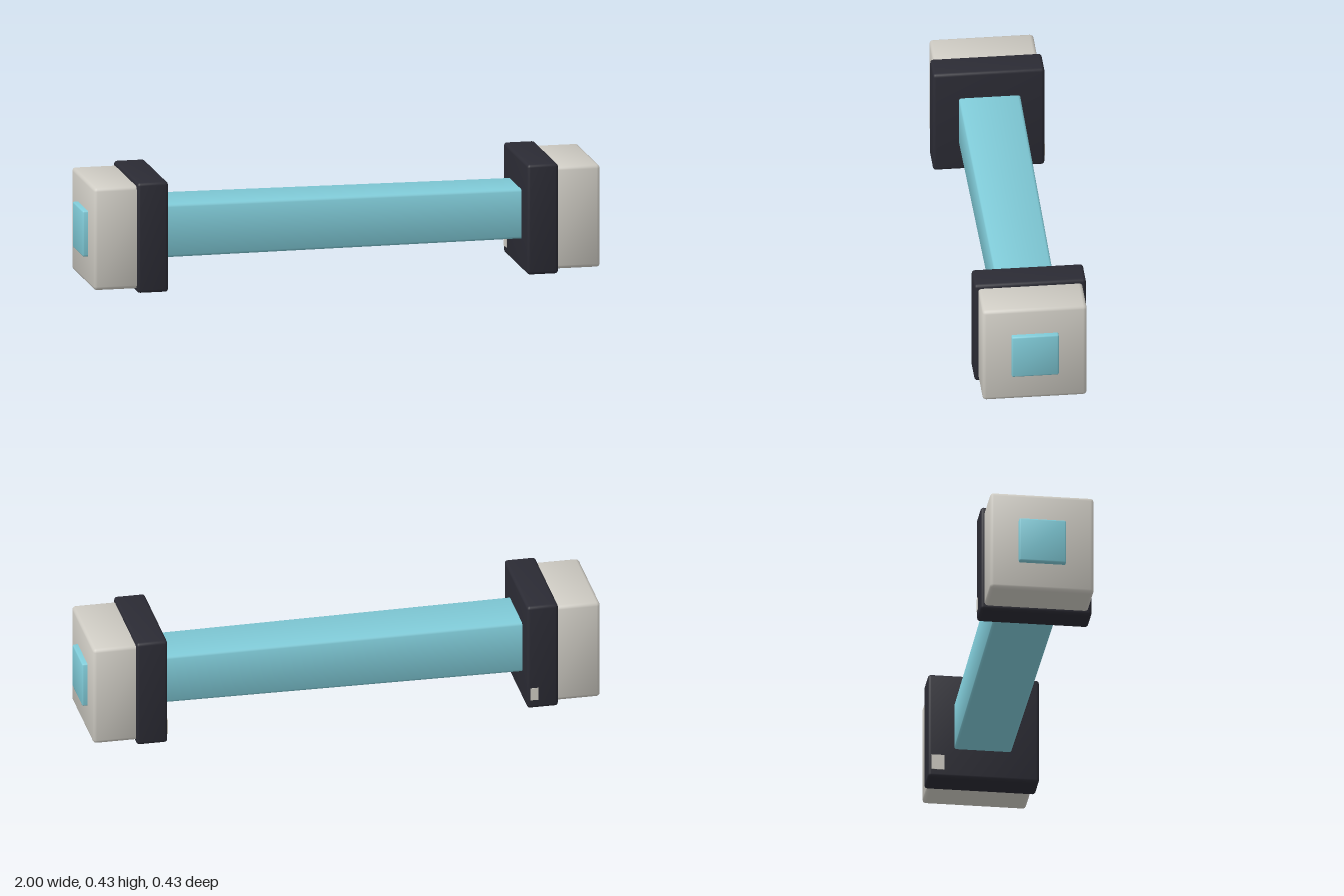
import * as THREE from 'three';
import { RoundedBoxGeometry } from 'three/addons/geometries/RoundedBoxGeometry.js';

// Rounded block whose normals lean outward by "soft" for a pillowy, smooth look
function softBox(w, h, d, radius, soft, softX = 1) {
  const g = new RoundedBoxGeometry(w, h, d, 2, radius);
  const p = g.attributes.position;
  const n = g.attributes.normal;
  const v = new THREE.Vector3();
  for (let i = 0; i < p.count; i++) {
    v.set(
      n.getX(i) + soft * softX * Math.sign(p.getX(i)),
      n.getY(i) + soft * Math.sign(p.getY(i)),
      n.getZ(i) + soft * Math.sign(p.getZ(i))
    ).normalize();
    n.setXYZ(i, v.x, v.y, v.z);
  }
  return g;
}

export function createModel() {
  const group = new THREE.Group();
  const material = (name, color) => {
    const m = new THREE.MeshStandardMaterial({ color });
    m.name = name;
    return m;
  };
  const blue = material('light blue', 0x80cbd8);
  const grey = material('warm grey', 0xcfccc4);
  const dark = material('charcoal', 0x2b2b34);

  const add = (parent, name, geometry, mat, x, y, z) => {
    const mesh = new THREE.Mesh(geometry, mat);
    mesh.name = name;
    mesh.position.set(x, y, z);
    parent.add(mesh);
  };

  // Handle bar, slightly thinner towards +x
  const bar = softBox(1.5, 0.198, 0.226, 0.01, 0.4, 0);
  const p = bar.attributes.position;
  for (let i = 0; i < p.count; i++) {
    const s = 1 - 0.05 * p.getX(i);
    p.setY(i, p.getY(i) * s);
    p.setZ(i, p.getZ(i) * s);
  }
  add(group, 'handleBar', bar, blue, 0, 0.219, -0.003);

  // Square weight with collar and end cap at each end
  for (const side of [1, -1]) {
    const end = new THREE.Group();
    end.name = side > 0 ? 'leftWeight' : 'rightWeight';
    add(end, 'collar', softBox(0.12, 0.426, 0.424, 0.012, 0.12), dark, side * 0.755, 0.218, 0);
    add(end, 'weightBlock', softBox(0.2, 0.396, 0.396, 0.014, 0.3), grey, side * 0.88, 0.218, 0);
    add(end, 'endCap', softBox(0.12, 0.177, 0.179, 0.006, 0.25), blue, side * 0.94, 0.218, 0);
    group.add(end);
  }

  // Small worn chips at the lower rear corners of the collars
  add(group, 'leftCollarChip', new THREE.BoxGeometry(0.004, 0.06, 0.05), grey, 0.694, 0.065, -0.175);
  add(group, 'rightCollarChip', new THREE.BoxGeometry(0.03, 0.05, 0.004), grey, -0.722, 0.065, -0.212);

  return group;
}
